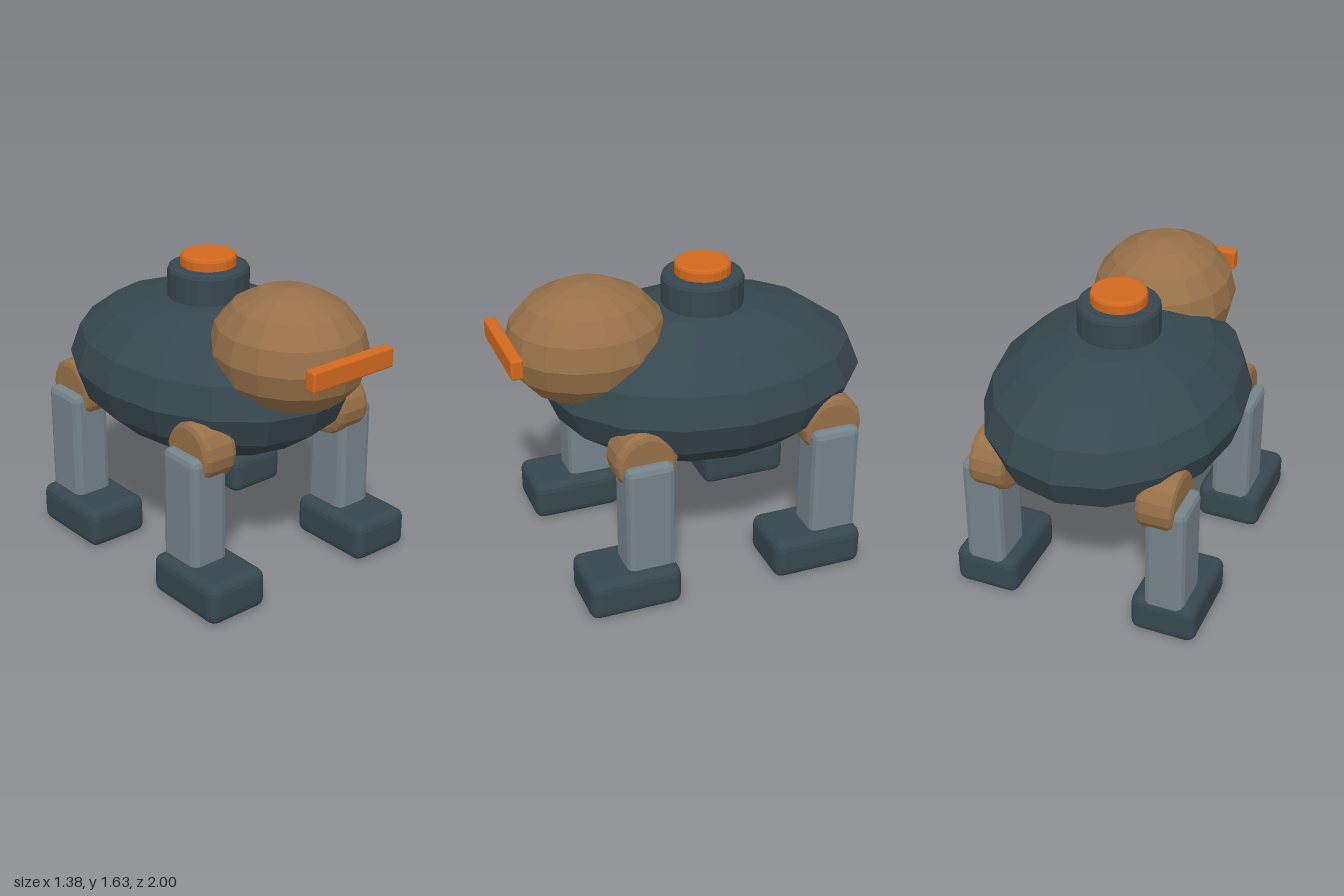
import * as THREE from 'three';
import { RoundedBoxGeometry } from 'three/addons/geometries/RoundedBoxGeometry.js';

function paint(name, color) {
  const m = new THREE.MeshStandardMaterial({ color });
  m.name = name;
  m.flatShading = true;
  return m;
}

export function createModel() {
  const model = new THREE.Group();
  model.name = 'walkerRobot';

  const slate = paint('darkSlate', 0x37474f);
  const bronze = paint('bronze', 0x967048);
  const steel = paint('steelGrey', 0x75828a);
  const orange = paint('orange', 0xd2691e);

  const add = (name, geometry, material, x, y, z, parent = model) => {
    const mesh = new THREE.Mesh(geometry, material);
    mesh.name = name;
    mesh.position.set(x, y, z);
    parent.add(mesh);
    return mesh;
  };

  // Faceted ellipsoid
  const ellipsoid = (rx, ry, rz) => new THREE.SphereGeometry(1, 16, 8).scale(rx, ry, rz);

  // Cylinder with softened rims, centred on its own axis
  const softCylinder = (r, h, b, sides) => {
    const t = b * 0.3, k = h / 2;
    const profile = [
      [0, -k], [r - b, -k], [r - t, -k + t], [r, -k + b],
      [r, k - b], [r - t, k - t], [r - b, k], [0, k],
    ].map(([x, y]) => new THREE.Vector2(x, y));
    return new THREE.LatheGeometry(profile, sides);
  };

  // Body and head
  add('body', ellipsoid(0.685, 0.42, 0.88), slate, 0, 1.005, -0.12);
  add('head', ellipsoid(0.392, 0.328, 0.435), bronze, 0, 1.285, 0.525);
  add('visor', new RoundedBoxGeometry(0.535, 0.108, 0.065, 1, 0.01), orange, 0, 1.314, 0.9675);

  // Top hatch
  add('hatchBase', softCylinder(0.22, 0.25, 0.025, 20), slate, 0, 1.442, -0.12);
  add('hatchButton', softCylinder(0.15, 0.1, 0.018, 20), orange, 0, 1.58, -0.12);

  // Four legs: shoulder joint, shin and foot
  const shoulderGeo = softCylinder(0.17, 0.205, 0.035, 16).rotateZ(Math.PI / 2);
  const shinGeo = new RoundedBoxGeometry(0.22, 0.68, 0.265, 1, 0.035);
  const footGeo = new RoundedBoxGeometry(0.36, 0.22, 0.505, 2, 0.05);
  for (const [end, z] of [['front', 0.393], ['back', -0.647]]) {
    for (const [side, s] of [['Left', 1], ['Right', -1]]) {
      const leg = new THREE.Group();
      leg.name = `${end}${side}Leg`;
      add('shoulder', shoulderGeo, bronze, s * 0.4625, 0.817, z, leg);
      add('shin', shinGeo, steel, s * 0.512, 0.48, z, leg);
      add('foot', footGeo, slate, s * 0.51, 0.112, z + 0.11, leg);
      model.add(leg);
    }
  }

  return model;
}
